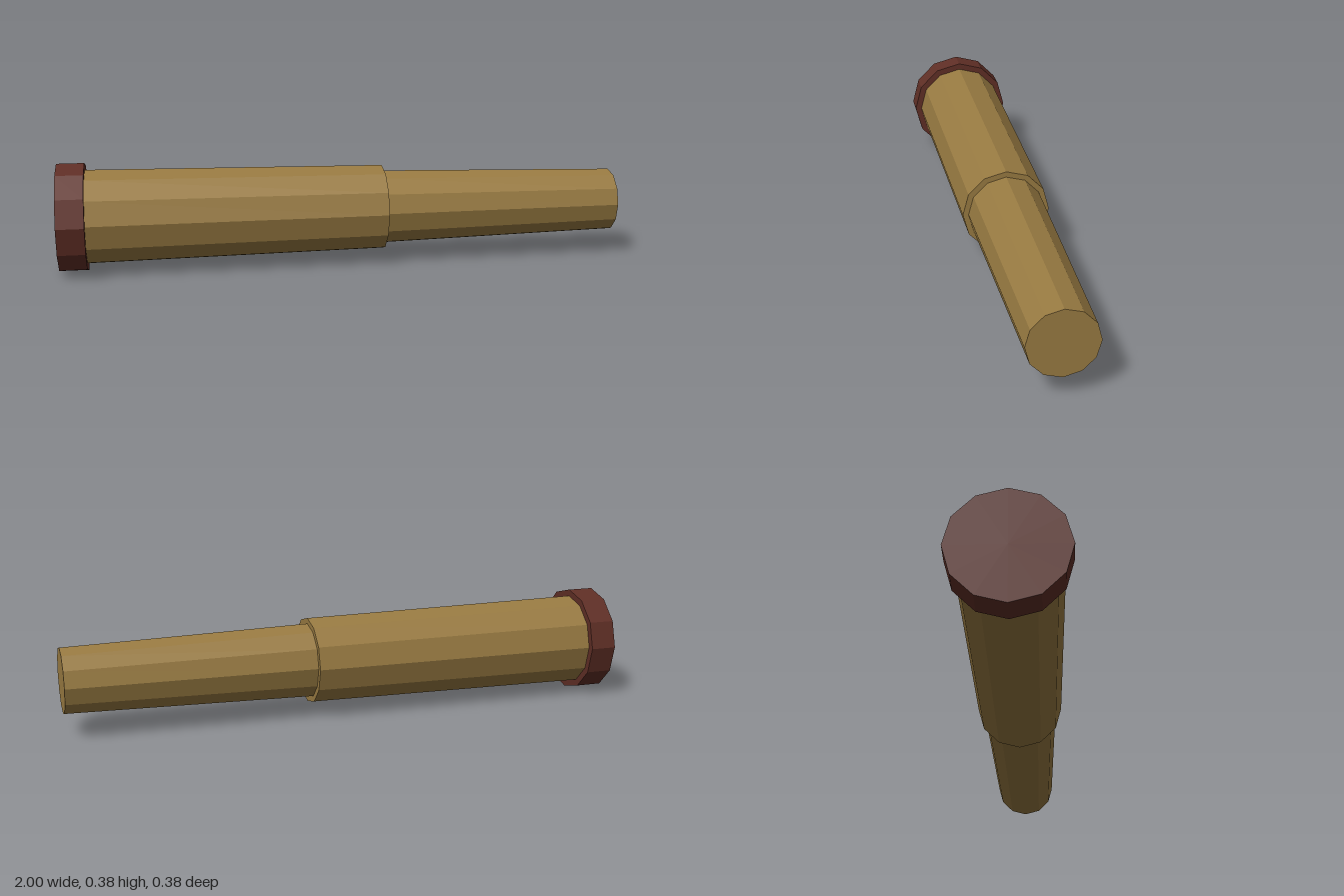
import * as THREE from 'three';

const SIDES = 12;
const AXIS_Y = 0.19;

// Tapered twelve-sided section lying along x, from x0 (radius r0) to x1 (radius r1)
function section(name, x0, x1, r0, r1, material) {
  const geometry = new THREE.CylinderGeometry(r1, r0, x1 - x0, SIDES);
  geometry.rotateZ(-Math.PI / 2);
  const mesh = new THREE.Mesh(geometry, material);
  mesh.name = name;
  mesh.position.set((x0 + x1) / 2, AXIS_Y, 0);
  return mesh;
}

export function createModel() {
  const brass = new THREE.MeshStandardMaterial({ color: 0x997b42, flatShading: true });
  brass.name = 'brass';
  const leather = new THREE.MeshStandardMaterial({ color: 0x602f26, flatShading: true });
  leather.name = 'redBrown';

  const spyglass = new THREE.Group();
  spyglass.name = 'spyglass';
  spyglass.add(
    section('lensCap', -1, -0.905, 0.19, 0.19, leather),
    section('mainTube', -0.905, 0.14, 0.166, 0.153, brass),
    section('eyepieceTube', 0.14, 1, 0.133, 0.114, brass),
  );
  return spyglass;
}
